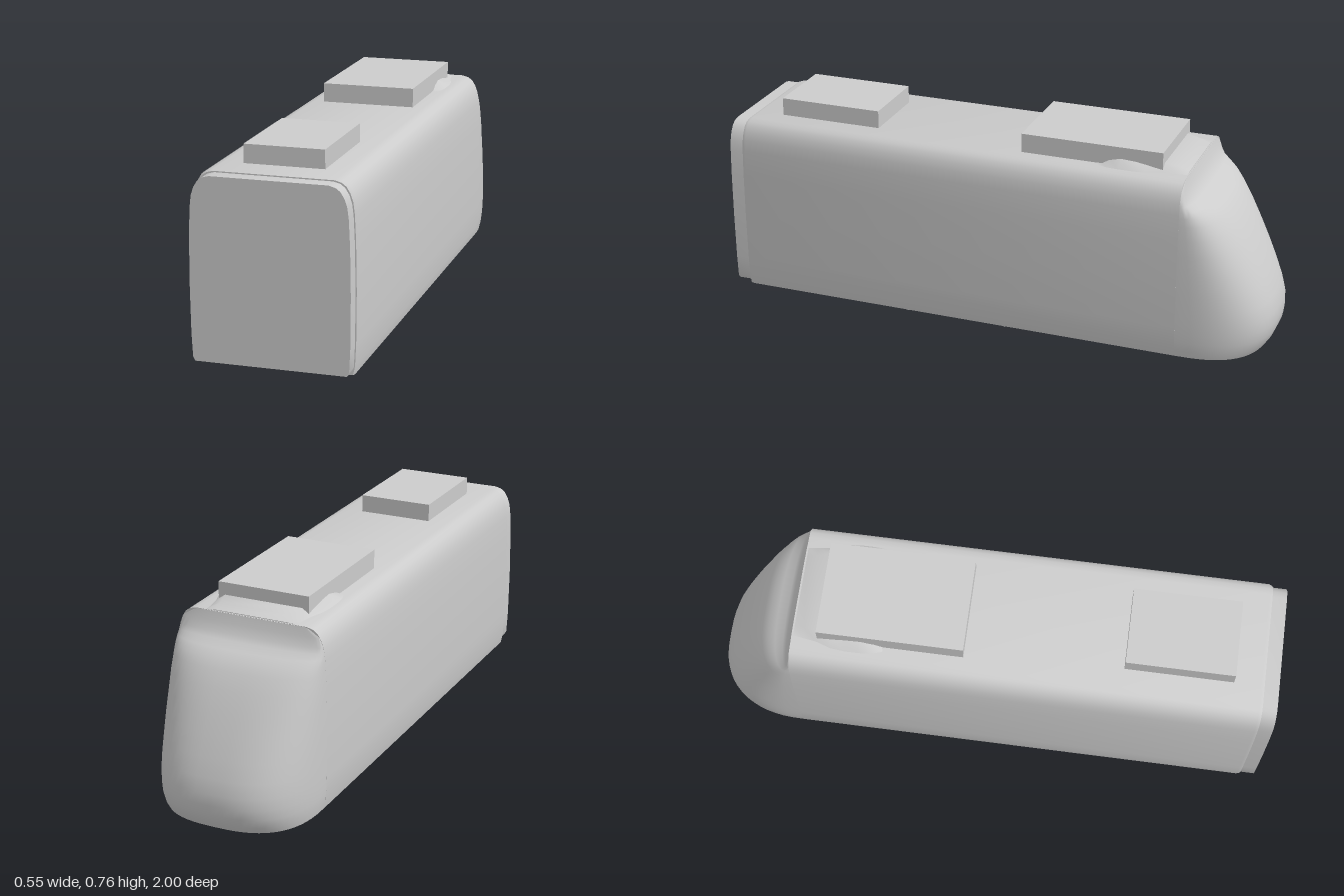
import * as THREE from 'three';
import { toCreasedNormals } from 'three/addons/utils/BufferGeometryUtils.js';

// right half of the carriage cross-section, bottom to top: [x, y]
const HALF = [[0.264, 0.056], [0.271, 0.09], [0.275, 0.17], [0.277, 0.34], [0.275, 0.5], [0.271, 0.59],
  [0.266, 0.63], [0.257, 0.657], [0.244, 0.678], [0.228, 0.69], [0.205, 0.696]];

// closed, capped surface through a row of equal-length convex rings
function loft(rings, crease = 0.7) {
  const n = rings[0].length, last = (rings.length - 1) * n, index = [];
  for (let i = 0; i < rings.length - 1; i++) {
    for (let j = 0; j < n; j++) {
      const a = i * n + j, b = i * n + (j + 1) % n;
      index.push(a, b, b + n, a, b + n, a + n);
    }
  }
  for (let j = 1; j < n - 1; j++) index.push(0, j + 1, j, last, last + j, last + j + 1);
  const g = new THREE.BufferGeometry();
  g.setAttribute('position', new THREE.Float32BufferAttribute(rings.flat(2), 3));
  g.setIndex(index);
  return toCreasedNormals(g, crease);
}

// mirrored cross-section placed at z, optionally inset
function section(half, z, inset = 0, lift = 0) {
  const right = half.map(([x, y]) => [x - inset, Math.max(y - inset, half[0][1] + lift), z]);
  return [...right, ...right.map(([x, y]) => [-x, y, z]).reverse()];
}

// carriage half width at height y
function widthAt(y) {
  for (let i = 1; i < HALF.length; i++) {
    const [x0, y0] = HALF[i - 1], [x1, y1] = HALF[i];
    if (y <= y1) return x0 + (x1 - x0) * Math.max(0, (y - y0) / (y1 - y0));
  }
  return HALF[HALF.length - 1][0];
}

export function createModel() {
  const model = new THREE.Group();
  const grey = new THREE.MeshStandardMaterial({ color: 0xcccccc });
  grey.name = 'plain grey';
  const add = (name, geometry, x = 0, y = 0, z = 0) => {
    const mesh = new THREE.Mesh(geometry, grey);
    mesh.name = name;
    mesh.position.set(x, y, z);
    model.add(mesh);
    return mesh;
  };

  // long carriage shell and the slightly smaller coupling end
  add('carriageBody', loft([section(HALF, -0.69), section(HALF, 0.937), section(HALF, 0.949, 0.004)]));
  add('couplingEnd', loft([section(HALF, 0.93, 0.008, 0.012), section(HALF, 1, 0.008, 0.012)]));

  // rounded nose: plan outlines stacked upward, [y, foremost z]
  const profile = [[0.056, -0.965], [0.08, -0.982], [0.115, -0.996], [0.15, -1], [0.19, -0.998], [0.24, -0.984],
    [0.3, -0.96], [0.37, -0.928], [0.44, -0.892], [0.5, -0.858], [0.55, -0.824], [0.58, -0.797],
    [0.6, -0.767], [0.618, -0.733], [0.635, -0.717], [0.665, -0.702], [0.695, -0.692]];
  const steps = 32, power = 2 / 2.7;
  add('nose', loft(profile.map(([y, z]) => {
    const w = widthAt(y), ring = [];
    for (let i = 0; i <= steps; i++) {
      const t = Math.PI * i / steps, c = Math.cos(t), s = Math.max(0, Math.sin(t));
      ring.push([w * Math.sign(c) * Math.abs(c) ** power, y, -0.688 + (z + 0.688) * s ** power]);
    }
    return ring;
  }), 0.8));

  // roof equipment boxes
  add('largeRoofUnit', new THREE.BoxGeometry(0.336, 0.075, 0.51), 0, 0.7265, -0.345);
  add('smallRoofUnit', new THREE.BoxGeometry(0.274, 0.07, 0.378), 0, 0.725, 0.654);

  // low fairing under the large unit, [z, half width, height]
  const fairing = [[-0.685, 0.165, 0.698], [-0.65, 0.17, 0.71], [-0.6, 0.178, 0.72], [-0.55, 0.195, 0.716],
    [-0.5, 0.2, 0.721], [-0.45, 0.2, 0.724], [-0.41, 0.197, 0.716], [-0.37, 0.185, 0.697]];
  add('roofFairing', loft(fairing.map(([z, w, h]) =>
    section([[w, 0.685], [w, 0.696], [w - 0.034, h]], z))));

  // wheels half sunk into the floor
  for (const side of [1, -1]) {
    for (const z of [0.355, -0.025]) {
      const wheel = add(side > 0 ? 'leftWheel' : 'rightWheel',
        toCreasedNormals(new THREE.CylinderGeometry(0.058, 0.058, 0.02, 8), 0.9), side * 0.158, 0.058, z);
      wheel.rotation.z = Math.PI / 2;
    }
  }
  return model;
}
